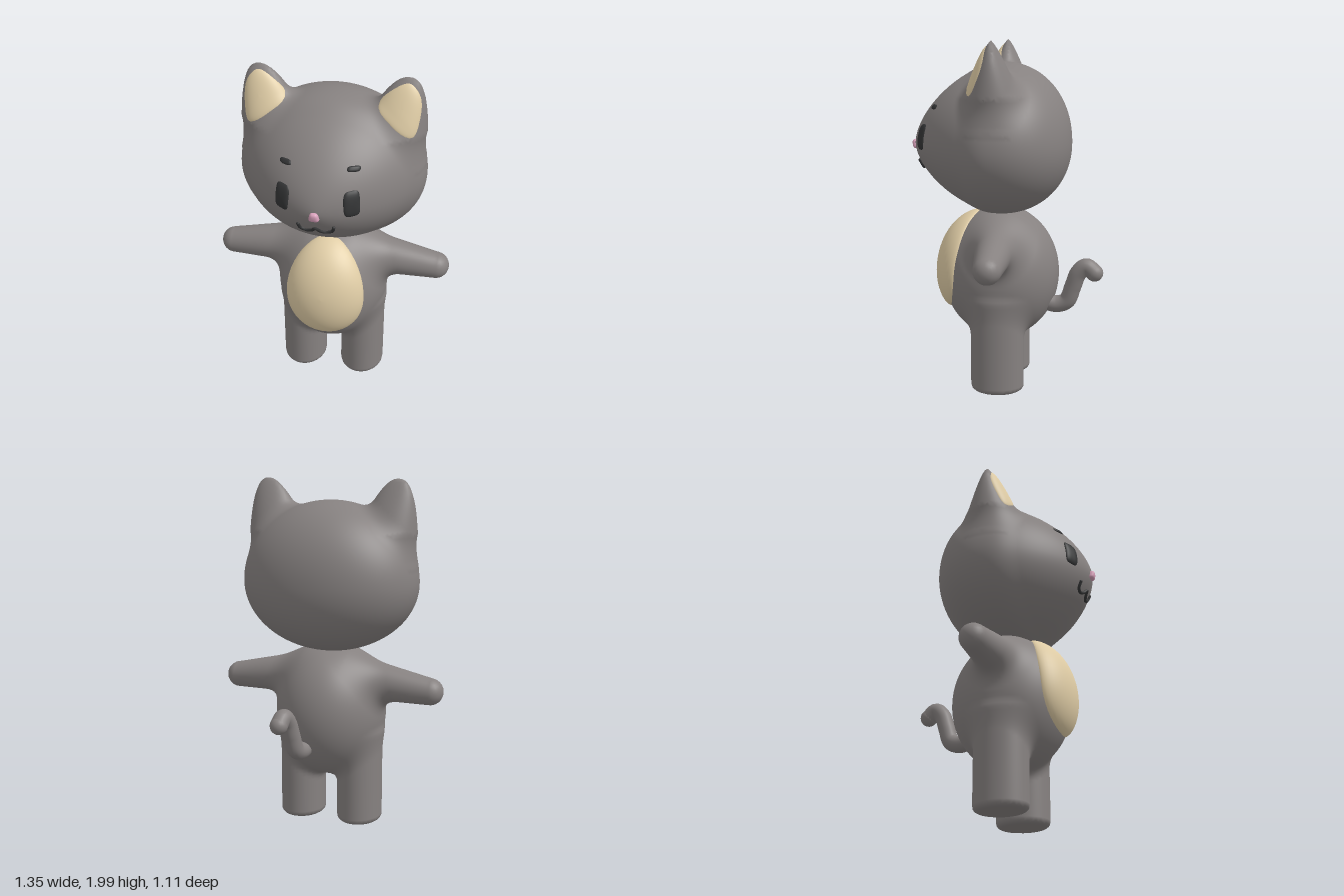
import * as THREE from 'three';

const paint = (color) => new THREE.MeshStandardMaterial({ color });
const fur = paint(0x868180), cream = paint(0xe0cda6), dark = paint(0x343536), pink = paint(0xd7a0ba);
const lerp = THREE.MathUtils.lerp, clamp = THREE.MathUtils.clamp;

// Blended union of two distances
function blend(a, b, k) {
  const h = Math.max(k - Math.abs(a - b), 0) / k;
  return Math.min(a, b) - h * h * k / 4;
}

// Head: egg pointed towards the nose, with two flattened cone ears
function headField(x, y, z) {
  x = Math.abs(x);
  const dy = (y - 1.42) / (y > 1.42 ? 0.46 : 0.4), dz = z - 0.04;
  const p = 2.1 - 0.5 * THREE.MathUtils.smoothstep(dz, -0.05, 0.2);
  const r = Math.hypot(x / 0.515, dy), s = Math.abs(dz) / (dz > 0 ? 0.5 : 0.4);
  const skull = (Math.pow(r ** p + s ** p, 1 / p) - 1) * 0.42;
  const t = clamp(2 - y, 0.002, 0.45), u = Math.min(t, 0.3) / 0.28;
  const hx = 0.17 * u ** 0.45, hz = 0.14 * u ** 0.8;
  const cone = (Math.hypot((x - 0.395 + 0.22 * t) / hx, (z - 0.05) / hz) - 1) * Math.min(hx, hz);
  return blend(skull, Math.max(cone, y - 2, 1.55 - y), 0.06);
}

// Body: ellipsoid with tapered arms and oval legs
function bodyField(x, y, z) {
  x = Math.abs(x);
  z -= 0.047;
  const torso = (Math.hypot(x / 0.32, (y - 0.665) / 0.39, z / 0.34) - 1) * 0.32;
  const ax = 0.48, ay = -0.052;
  const h = clamp(((x - 0.12) * ax + (y - 0.87) * ay) / (ax * ax + ay * ay), 0, 1);
  const arm = Math.hypot(x - 0.12 - ax * h, y - 0.87 - ay * h, z) - lerp(0.13, 0.077, h);
  const side = Math.hypot(x - 0.18, z * 0.85) - 0.1, end = Math.abs(y - 0.285) - 0.25;
  const leg = Math.min(Math.max(side, end), 0) + Math.hypot(Math.max(side, 0), Math.max(end, 0)) - 0.03;
  return blend(blend(torso, leg, 0.05), arm, 0.1);
}

function gradient(f, x, y, z) {
  const e = 0.002;
  return new THREE.Vector3(f(x + e, y, z) - f(x - e, y, z), f(x, y + e, z) - f(x, y - e, z),
    f(x, y, z + e) - f(x, y, z - e)).divideScalar(2 * e);
}

// Smooth skin over a field: one vertex per crossed grid cell, pulled onto the surface
function skin(f, min, max, step = 0.02) {
  const n = min.map((v, i) => Math.ceil((max[i] - v) / step) + 1);
  const stride = [1, n[0], n[0] * n[1]], total = n[0] * n[1] * n[2];
  const val = new Float32Array(total), cell = new Int32Array(total).fill(-1);
  const pos = [], nor = [], index = [];
  const each = (fn) => {
    for (let k = 0; k < n[2]; k++) for (let j = 0; j < n[1]; j++) for (let i = 0; i < n[0]; i++)
      fn([i, j, k], i + j * stride[1] + k * stride[2]);
  };
  each((c, id) => { val[id] = f(...c.map((v, i) => min[i] + v * step)); });
  each((c, id) => {
    if (c.some((v, i) => v >= n[i] - 1)) return;
    const sum = new THREE.Vector3();
    let hits = 0;
    for (let q = 0; q < 8; q++) for (let a = 0; a < 3; a++) {
      if (q >> a & 1) continue;
      const o = [q & 1, q >> 1 & 1, q >> 2 & 1];
      const i0 = id + o[0] + o[1] * stride[1] + o[2] * stride[2];
      const v0 = val[i0], v1 = val[i0 + stride[a]];
      if ((v0 < 0) === (v1 < 0)) continue;
      o[a] += v0 / (v0 - v1);
      sum.add(new THREE.Vector3(...o));
      hits++;
    }
    if (!hits) return;
    const p = sum.divideScalar(hits).add(new THREE.Vector3(...c)).multiplyScalar(step).add(new THREE.Vector3(...min));
    for (let s = 0; s < 3; s++) {
      const g = gradient(f, p.x, p.y, p.z);
      const move = g.multiplyScalar(-f(p.x, p.y, p.z) / Math.max(g.lengthSq(), 0.05));
      p.add(move.clampLength(0, step * 0.5));
    }
    cell[id] = pos.length / 3;
    pos.push(p.x, p.y, p.z);
    nor.push(...gradient(f, p.x, p.y, p.z).normalize().toArray());
  });
  each((c, id) => {
    for (let a = 0; a < 3; a++) {
      const b = (a + 1) % 3, d = (a + 2) % 3;
      if (c[a] >= n[a] - 1 || !c[b] || !c[d]) continue;
      const inside = val[id] < 0;
      if (inside === (val[id + stride[a]] < 0)) continue;
      const q = [id, id - stride[b], id - stride[b] - stride[d], id - stride[d]].map((v) => cell[v]);
      if (!inside) q.reverse();
      index.push(q[0], q[1], q[2], q[0], q[2], q[3]);
    }
  });
  const geo = new THREE.BufferGeometry();
  geo.setAttribute('position', new THREE.Float32BufferAttribute(pos, 3));
  geo.setAttribute('normal', new THREE.Float32BufferAttribute(nor, 3));
  return geo.setIndex(index);
}

// Point on the front of a field at (x, y), raised along its normal
function onFront(f, x, y, lift) {
  let z = 0.7, best = z, low = Infinity;
  for (; z > -0.1; z -= 0.004) {
    const d = f(x, y, z);
    if (d < low) { low = d; best = z; }
    if (d < 0) break;
  }
  if (low < 0) {
    let a = best, b = best + 0.004;
    for (let i = 0; i < 12; i++) f(x, y, (a + b) / 2) < 0 ? a = (a + b) / 2 : b = (a + b) / 2;
    best = a;
  }
  return new THREE.Vector3(x, y, best).addScaledVector(gradient(f, x, y, best).normalize(), lift);
}

// Padded patch with a counterclockwise outline, laid on the front of a field
function patch(f, outline, thick, rings = 14) {
  const m = outline.length, pos = [], index = [];
  const mid = outline.reduce((s, p) => s.add(p), new THREE.Vector2()).divideScalar(m);
  for (let r = 0; r <= rings; r++) {
    const t = Math.sin(r / rings * Math.PI / 2);
    for (let i = 0; i < m; i++) {
      const q = mid.clone().lerp(outline[i], t), j = (i + 1) % m;
      pos.push(...onFront(f, q.x, q.y, thick * Math.sqrt(Math.max(0, 1 - t ** 4)) - 0.004).toArray());
      if (!r) continue;
      const a = (r - 1) * m, b = r * m;
      index.push(a + i, b + i, b + j);
      if (r > 1) index.push(a + i, b + j, a + j);
    }
  }
  const geo = new THREE.BufferGeometry();
  geo.setAttribute('position', new THREE.Float32BufferAttribute(pos, 3));
  geo.setIndex(index).computeVertexNormals();
  return geo;
}

// Rounded outline: centre, half sizes, squareness, narrowing to the top, tilt
function oval(cx, cy, w, h, power, taper = 0, tilt = 0) {
  return Array.from({ length: 40 }, (_, i) => {
    const a = i / 40 * Math.PI * 2, c = Math.cos(a), s = Math.sin(a);
    const v = Math.sign(s) * Math.abs(s) ** (2 / power);
    const u = Math.sign(c) * Math.abs(c) ** (2 / power) * (1 - taper * v);
    return new THREE.Vector2(u * w, v * h).rotateAround(new THREE.Vector2(), tilt).add(new THREE.Vector2(cx, cy));
  });
}

export function createModel() {
  const model = new THREE.Group();
  model.name = 'cat';
  const add = (name, geo, mat, parent = model) => {
    const mesh = new THREE.Mesh(geo, mat);
    mesh.name = name;
    parent.add(mesh);
    return mesh;
  };
  add('head', skin(headField, [-0.58, 0.97, -0.42], [0.58, 2.06, 0.6]), fur);
  add('body', skin(bodyField, [-0.74, -0.05, -0.36], [0.74, 1.12, 0.46]), fur);
  add('bellyPatch', patch(bodyField, oval(0, 0.743, 0.222, 0.288, 2.1, 0.13), 0.042), cream);

  // Face and inner ears, mirrored
  const earPoints = [[0.245, 1.85], [0.31, 1.785], [0.44, 1.71], [0.468, 1.79], [0.462, 1.91], [0.405, 1.975], [0.34, 1.955]];
  for (const [side, s] of [['left', 1], ['right', -1]]) {
    const curve = new THREE.CatmullRomCurve3(earPoints.map(([x, y]) => new THREE.Vector3(s * x, y, 0)), true);
    const outline = curve.getPoints(42).slice(0, -1).map((p) => new THREE.Vector2(p.x, p.y));
    if (s < 0) outline.reverse();
    add(side + 'InnerEar', patch(headField, outline, 0.014), cream);
    add(side + 'Eye', patch(headField, oval(s * 0.183, 1.468, 0.04, 0.073, 4, 0, s * 0.08), 0.014, 8), dark);
    add(side + 'Eyebrow', patch(headField, oval(s * 0.178, 1.635, 0.034, 0.013, 3, 0, s * -0.06), 0.012, 6), dark);
  }
  add('nose', patch(headField, oval(0, 1.41, 0.026, 0.026, 3.5, 0.25), 0.024, 8), pink);
  const lips = [[-0.094, 1.33], [-0.085, 1.298], [-0.053, 1.285], [-0.022, 1.296], [0, 1.318],
    [0.022, 1.296], [0.053, 1.285], [0.085, 1.298], [0.094, 1.33]].map(([x, y]) => onFront(headField, x, y, 0.004));
  add('mouth', new THREE.TubeGeometry(new THREE.CatmullRomCurve3(lips), 48, 0.009, 8), dark);
  for (const end of [lips[0], lips[8]])
    add('mouthCorner', new THREE.SphereGeometry(0.009, 10, 8), dark).position.copy(end);

  // Curled tail with a round tip
  const tail = new THREE.Group();
  tail.name = 'tail';
  model.add(tail);
  const path = new THREE.CatmullRomCurve3([[0.045, 0.5, -0.22], [0.05, 0.49, -0.29], [0.058, 0.515, -0.345], [0.066, 0.6, -0.378],
    [0.074, 0.685, -0.41], [0.08, 0.724, -0.455], [0.085, 0.69, -0.502]].map((p) => new THREE.Vector3(...p)));
  add('tailCurve', new THREE.TubeGeometry(path, 48, 0.049, 20), fur, tail);
  add('tailTip', new THREE.SphereGeometry(0.05, 20, 14), fur, tail).position.copy(path.getPoint(1));
  return model;
}
